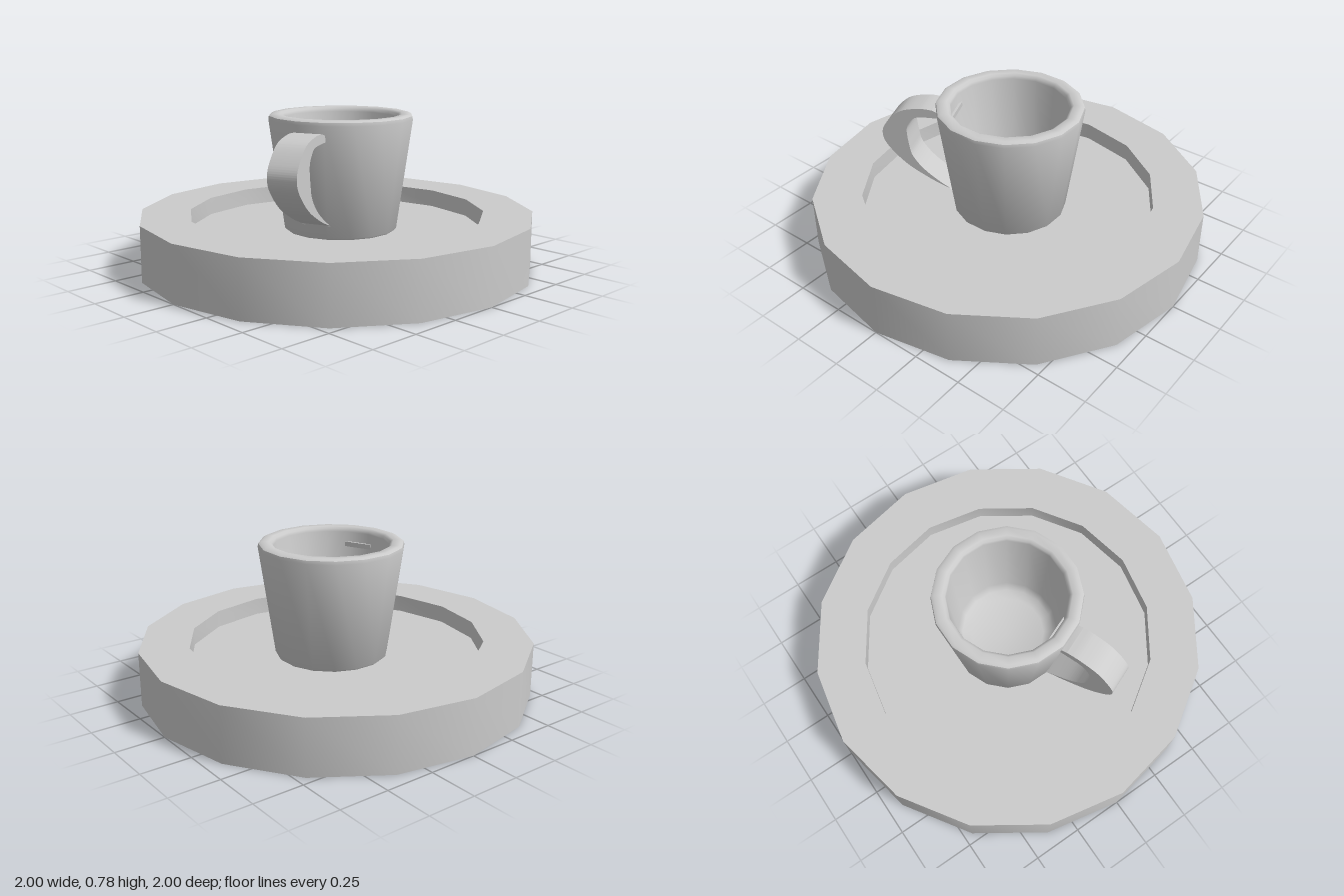
import * as THREE from 'three';
import { toCreasedNormals } from 'three/addons/utils/BufferGeometryUtils.js';

const SIDES = 16;
const STEP = (Math.PI * 2) / SIDES;
const material = new THREE.MeshStandardMaterial({ color: 0xcccccc });

const points = (list) => list.map(([x, y]) => new THREE.Vector2(x, y));

function addMesh(parent, name, geometry, crease = 0.65) {
  const mesh = new THREE.Mesh(toCreasedNormals(geometry, crease), material);
  mesh.name = name;
  parent.add(mesh);
  return mesh;
}

const lathe = (profile, sides = SIDES, start = 0, length = Math.PI * 2) =>
  new THREE.LatheGeometry(points(profile), sides, start, length);

function createSaucer() {
  const saucer = new THREE.Group();
  saucer.name = 'saucer';

  // Thick plate, recessed on top and hollow underneath
  addMesh(saucer, 'plate', lathe([
    [0, 0.15], [0.87, 0.15], [1, 0], [1, 0.28], [0.75, 0.28], [0.75, 0.19], [0, 0.19],
  ]));

  // Foot ring under the plate, broken away in a few segments
  const innerGaps = [1, 9, 10, 14, 15];
  const outerGaps = [14];
  for (let i = 0; i < SIDES; i++) {
    if (outerGaps.includes(i)) continue;
    const inner = innerGaps.includes(i) ? 0.87 : 0.75;
    addMesh(saucer, 'footRingSegment', lathe([[inner, 0], [1, 0]], 1, i * STEP, STEP));
  }
  return saucer;
}

function createCup() {
  const cup = new THREE.Group();
  cup.name = 'cup';

  // Tapered cup with a rounded rim and a rounded hollow
  const body = lathe([
    [0, 0.18], [0.27, 0.18], [0.288, 0.2], [0.366, 0.755], [0.363, 0.772], [0.348, 0.78],
    [0.31, 0.78], [0.296, 0.77], [0.292, 0.755], [0.255, 0.32], [0.235, 0.27], [0.19, 0.25], [0, 0.245],
  ], SIDES, STEP / 2);
  addMesh(cup, 'cupBody', body, 0.9);

  // Curved handle: side outline in (radius, height), extruded across its width
  const shape = new THREE.Shape();
  shape.moveTo(0.27, 0.68);
  shape.lineTo(0.345, 0.68);
  shape.splineThru(points([
    [0.455, 0.67], [0.495, 0.64], [0.518, 0.59], [0.51, 0.5], [0.49, 0.43], [0.42, 0.35], [0.29, 0.26],
  ]));
  shape.lineTo(0.29, 0.265);
  shape.splineThru(points([
    [0.4, 0.31], [0.53, 0.385], [0.625, 0.48], [0.65, 0.55], [0.625, 0.615], [0.55, 0.69], [0.45, 0.72], [0.38, 0.722],
  ]));
  shape.lineTo(0.33, 0.705);
  shape.lineTo(0.27, 0.705);
  const width = 0.15;
  const geometry = new THREE.ExtrudeGeometry(shape, { depth: width, bevelEnabled: false, curveSegments: 16 });
  geometry.translate(0, 0, -width / 2);
  const handle = addMesh(cup, 'handle', geometry);
  handle.rotation.y = -Math.PI / 2 + STEP;

  cup.position.set(0.012, 0, -0.02);
  return cup;
}

export function createModel() {
  const model = new THREE.Group();
  model.name = 'cupAndSaucer';
  model.add(createSaucer(), createCup());
  return model;
}
